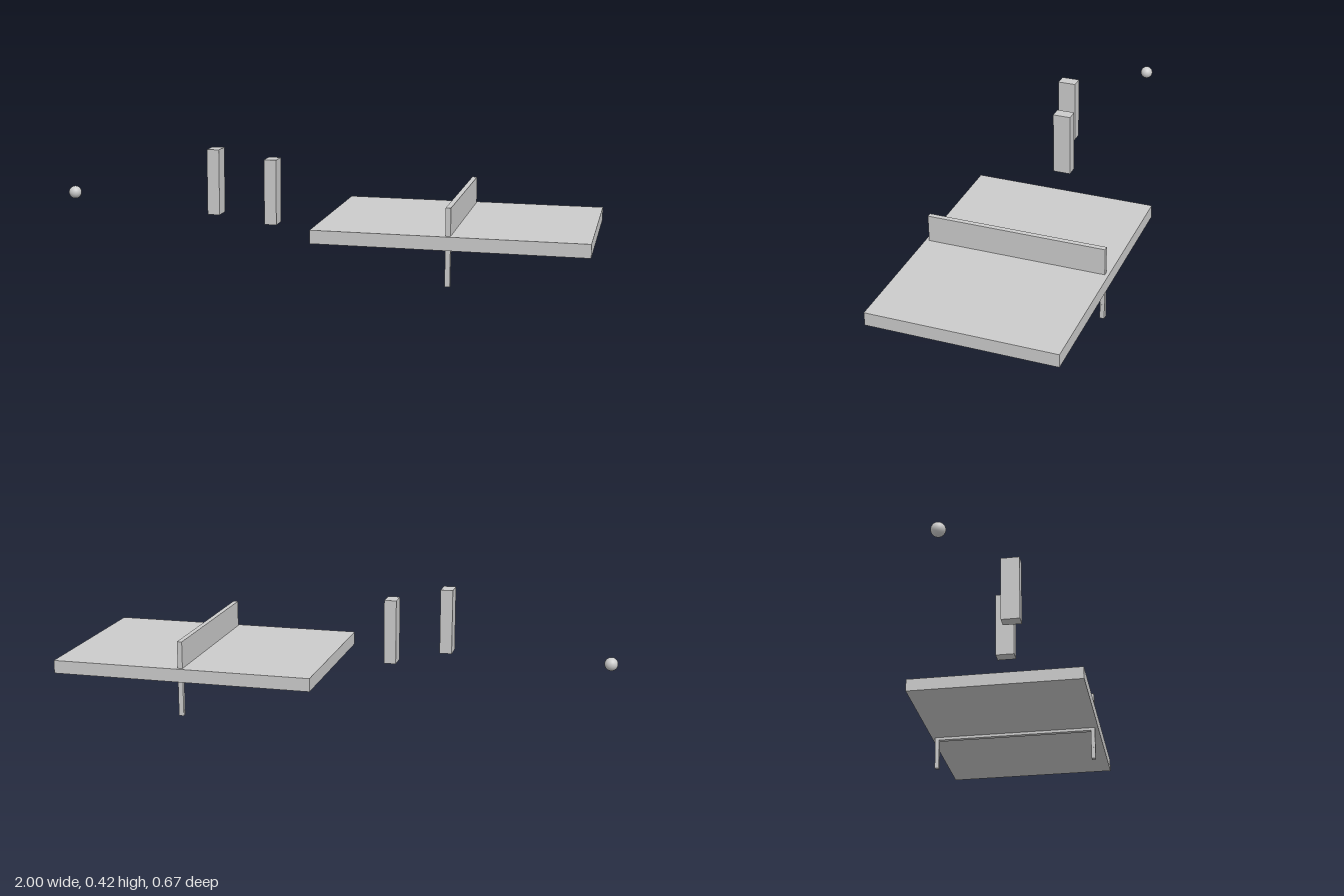
import * as THREE from 'three';

export function createModel() {
  const root = new THREE.Group();
  const material = new THREE.MeshStandardMaterial({ color: 0xcccccc });

  const add = (name, geometry, x, y, z, parent = root) => {
    const mesh = new THREE.Mesh(geometry, material);
    mesh.name = name;
    mesh.position.set(x, y, z);
    parent.add(mesh);
    return mesh;
  };
  const box = (w, h, d) => new THREE.BoxGeometry(w, h, d);

  // Table slab
  const tableX = 0.517;
  add('tableTop', box(0.963, 0.048, 0.667), tableX, 0.153, 0);

  // Net panel passing through the slab, standing on two slim legs
  const net = new THREE.Group();
  net.name = 'netAndLegs';
  net.position.x = tableX;
  root.add(net);
  add('net', box(0.018, 0.157, 0.641), 0, 0.1965, 0, net);
  for (const side of [-1, 1]) {
    add('leg', box(0.018, 0.118, 0.016), 0, 0.059, side * 0.3125, net);
    // Narrow rib on the lower half of the leg
    add('legRib', box(0.019, 0.055, 0.005), 0, 0.0275, side * 0.3125 - 0.001, net);
  }

  // Two upright paddle blocks
  for (const [x, y, z] of [[-0.367, 0.299, 0.13], [-0.168, 0.261, 0.078]]) {
    add('paddle', box(0.045, 0.239, 0.067), x, y, z);
  }

  // Ball
  add('ball', new THREE.SphereGeometry(0.024, 32, 16), -0.976, 0.208, 0);

  return root;
}
